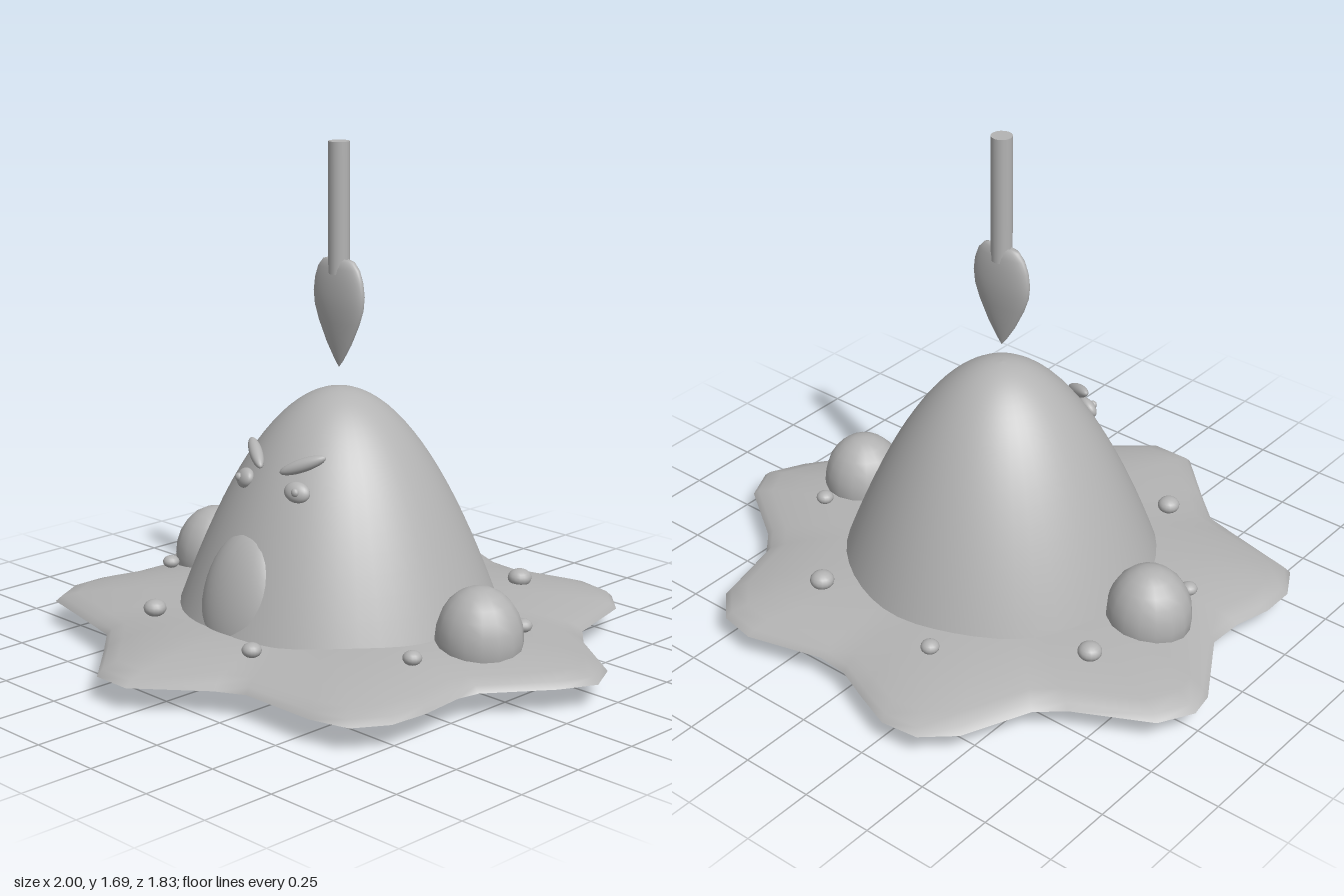
import * as THREE from 'three';

const CX = -0.015, CZ = -0.025; // axis of the body
const DOME_TOP = 0.885;
const domeRadius = (y) => Math.sqrt(0.39 * Math.max(0, DOME_TOP - y));

// Wavy outline of the puddle, as [x, z]
const OUTLINE = [
  [-0.40, -0.91], [-0.27, -0.925], [-0.14, -0.875], [-0.01, -0.82], [0.10, -0.81], [0.36, -0.88],
  [0.49, -0.855], [0.585, -0.76], [0.65, -0.50], [0.72, -0.42], [0.94, -0.27], [0.995, -0.155],
  [0.935, -0.035], [0.785, 0.165], [0.77, 0.24], [0.785, 0.40], [0.775, 0.535], [0.705, 0.645],
  [0.57, 0.68], [0.295, 0.68], [0.20, 0.73], [-0.01, 0.905], [-0.15, 0.905], [-0.31, 0.75],
  [-0.43, 0.64], [-0.555, 0.61], [-0.82, 0.55], [-0.88, 0.44], [-0.88, 0.32], [-0.845, 0.19],
  [-0.84, 0.065], [-0.985, -0.18], [-1.0, -0.27], [-0.935, -0.385], [-0.685, -0.515],
  [-0.60, -0.59], [-0.50, -0.82],
];

// Puddle: the outline shrunk ring by ring over a gentle dome, closed by a flat base
function puddleGeometry() {
  const rings = [[1, 0.085], [0.978, 0.105], [0.92, 0.122], [0.82, 0.14], [0.7, 0.155], [0.5, 0.168], [0.01, 0.17]];
  const n = OUTLINE.length, pos = [], index = [];
  for (const [s, y] of rings) {
    for (const [x, z] of OUTLINE) pos.push(x * s, y, z * s);
  }
  for (let r = 0; r < rings.length - 1; r++) {
    for (let k = 0; k < n; k++) {
      const a = r * n + k, b = r * n + (k + 1) % n;
      index.push(a, a + n, b, b, a + n, b + n);
    }
  }
  const base = pos.length / 3;
  for (const [x, z] of OUTLINE) pos.push(x, 0.085, z);
  pos.push(0, 0.085, 0);
  for (let k = 0; k < n; k++) index.push(base + n, base + k, base + (k + 1) % n);
  const geo = new THREE.BufferGeometry();
  geo.setAttribute('position', new THREE.Float32BufferAttribute(pos, 3));
  geo.setIndex(index);
  geo.computeVertexNormals();
  return geo;
}

export function createModel() {
  const model = new THREE.Group();
  model.name = 'slimeMound';
  const grey = new THREE.MeshStandardMaterial({ color: 0xb3b3b3 });
  grey.name = 'grey';

  const add = (name, geo, x = 0, y = 0, z = 0) => {
    const mesh = new THREE.Mesh(geo, grey);
    mesh.name = name;
    mesh.position.set(x, y, z);
    model.add(mesh);
    return mesh;
  };
  const ellipsoid = (name, p, r, w = 24, h = 16) => {
    const mesh = add(name, new THREE.SphereGeometry(1, w, h), ...p);
    mesh.scale.set(...r);
    return mesh;
  };

  add('puddle', puddleGeometry());

  // Body: paraboloid, with points packed closer near the top
  const profile = [];
  for (let i = 0; i <= 20; i++) {
    const t = 1 - i / 20;
    const y = DOME_TOP - (DOME_TOP - 0.09) * t * t;
    profile.push(new THREE.Vector2(domeRadius(y), y));
  }
  add('body', new THREE.LatheGeometry(profile, 48), CX, 0, CZ);

  // Mouth lying along the slope of the body
  const mouth = ellipsoid('mouth', [-0.025, 0.253, 0.40], [0.163, 0.23, 0.09], 32, 20);
  mouth.rotation.x = -0.3;

  for (const s of [-1, 1]) {
    const side = s > 0 ? 'left' : 'right';
    ellipsoid(side + 'Hand', [CX + s * 0.627, 0.172, -0.03], [0.144, 0.17, 0.14], 16, 12);
    const eye = ellipsoid(side + 'Eye', [CX + s * 0.122, 0.61, 0.283], [0.045, 0.034, 0.024]);
    eye.rotation.set(-0.4, s * 0.35, 0);
    ellipsoid(side + 'Pupil', [CX + s * 0.132, 0.615, 0.302], [0.014, 0.014, 0.012], 12, 8);
    // Frowning brow, rising outward and wrapping round the body
    const brow = ellipsoid(side + 'Brow', [CX + s * 0.11, 0.69, 0.246], [0.082, 0.022, 0.022]);
    brow.quaternion.setFromUnitVectors(
      new THREE.Vector3(s, 0, 0), new THREE.Vector3(s * 0.13, 0.06, -0.08).normalize());
  }

  // Bubbles scattered on the puddle: x, z, radius
  const bubbles = [
    [-0.21, -0.625, 0.031], [0.305, -0.58, 0.041], [-0.62, -0.32, 0.04], [0.635, -0.215, 0.03],
    [-0.67, 0.155, 0.029], [0.59, 0.255, 0.031], [-0.33, 0.515, 0.038], [0.19, 0.56, 0.032],
  ];
  for (const [x, z, r] of bubbles) ellipsoid('bubble', [x, 0.173, z], [r, r * 0.75, r], 16, 10);

  // Hanging flattened drop and its stem
  const dropPoints = [
    [0, 0.95], [0.02, 0.975], [0.055, 1.03], [0.09, 1.1], [0.108, 1.15], [0.113, 1.195],
    [0.107, 1.24], [0.092, 1.28], [0.07, 1.305], [0.045, 1.312], [0, 1.3],
  ].map(([x, y]) => new THREE.Vector2(x, y));
  add('drop', new THREE.LatheGeometry(dropPoints, 32), CX, 0, CZ).scale.z = 0.31;
  add('stem', new THREE.CylinderGeometry(0.035, 0.035, 0.43, 16), CX, 1.477, CZ);

  return model;
}
